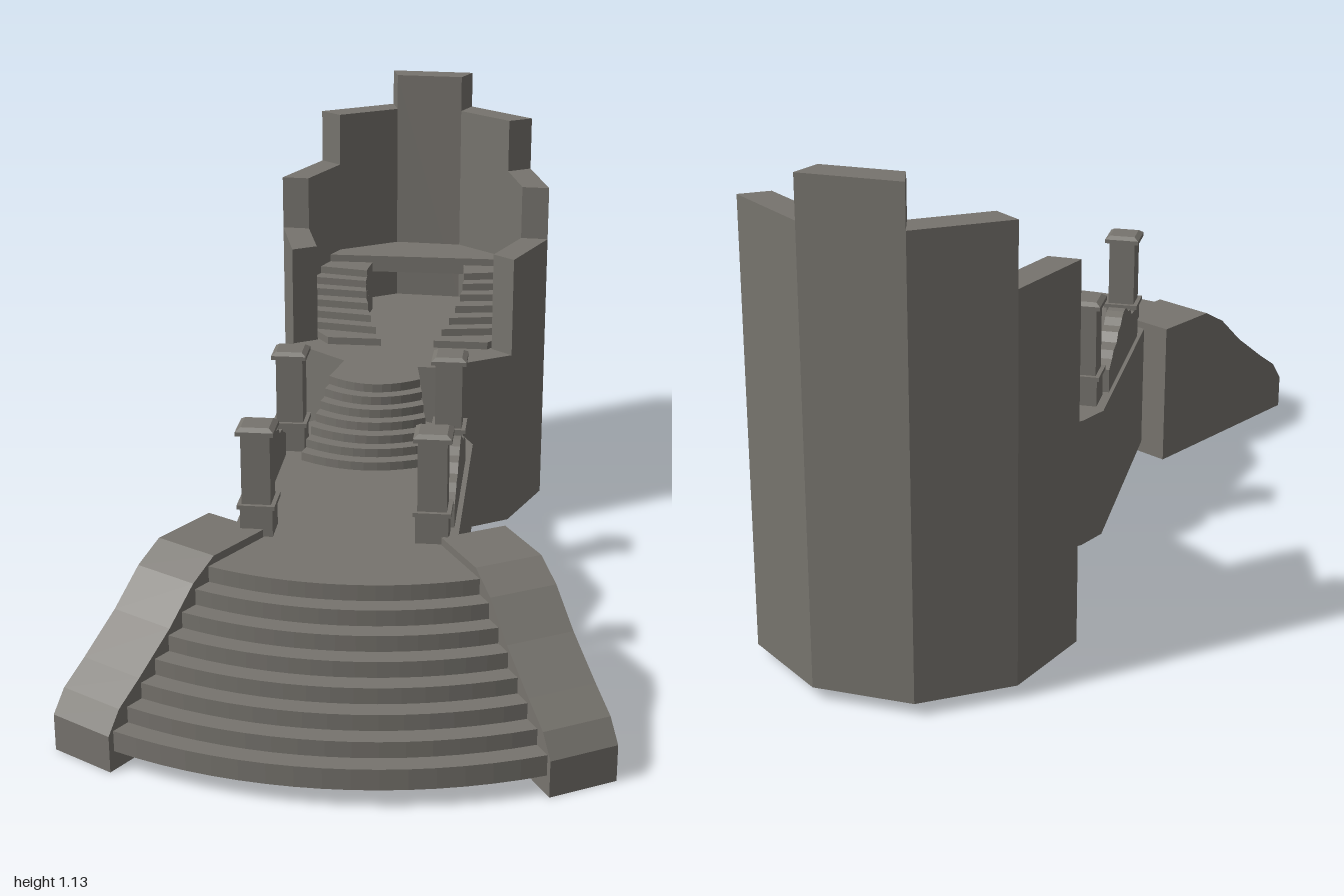
import * as THREE from 'three';

const stone = new THREE.MeshStandardMaterial({ color: 0x77746e, side: THREE.DoubleSide });
stone.name = 'weathered stone';

const LOW = 0.03, DECK = 0.352, FLOOR = 0.5, TERRACE = 0.655;

function add(parent, name, geometry) {
  const mesh = new THREE.Mesh(geometry, stone);
  mesh.name = name;
  parent.add(mesh);
  return mesh;
}

function group(parent, name) {
  const g = new THREE.Group();
  g.name = name;
  parent.add(g);
  return g;
}

// Plan outlines are lists of [x, z]
const planShape = (pts) => new THREE.Shape(pts.map(([x, z]) => new THREE.Vector2(x, -z)));

// Upright solid over a plan outline
function prism(pts, y0, y1) {
  return new THREE.ExtrudeGeometry(planShape(pts), { depth: y1 - y0, bevelEnabled: false })
    .rotateX(-Math.PI / 2).translate(0, y0, 0);
}

const slab = (pts, y) => new THREE.ShapeGeometry(planShape(pts)).rotateX(-Math.PI / 2).translate(0, y, 0);

// Faceted open sheet through rows of [x, y, z]
function sheet(rows) {
  const out = [];
  for (let j = 0; j < rows.length - 1; j++) {
    for (let i = 0; i < rows[j].length - 1; i++) {
      const a = rows[j][i], b = rows[j][i + 1], c = rows[j + 1][i], d = rows[j + 1][i + 1];
      out.push(...a, ...b, ...c, ...b, ...d, ...c);
    }
  }
  const g = new THREE.BufferGeometry();
  g.setAttribute('position', new THREE.Float32BufferAttribute(out, 3));
  g.computeVertexNormals();
  return g;
}

const skirt = (pts, top, bottom) => sheet([top, bottom].map((y) => pts.map(([x, z]) => [x, y, z])));

// Arc of the fan staircase, ending on the inner faces of the splayed walls
function fanArc(r) {
  const s = -0.172 + Math.sqrt(r * r - 0.0099);
  const end = Math.atan2(0.5 * s, 0.199 + 0.866 * s);
  return Array.from({ length: 17 }, (_, i) => {
    const a = end * (i / 8 - 1);
    return [r * Math.sin(a), -0.085 + r * Math.cos(a)];
  });
}

function buildFrontStairs(root) {
  const g = group(root, 'frontStairs');
  const rows = [];
  for (let i = 0; i < 8; i++) {
    const arc = fanArc(1.085 - 0.045 * i);
    const y0 = i ? 0.093 + 0.037 * (i - 1) : 0.045;
    const y1 = 0.093 + 0.037 * i;
    for (const y of [y0, y1]) rows.push(arc.map(([x, z]) => [x, y, z]));
  }
  add(g, 'fanSteps', sheet(rows));

  // Splayed side walls with a sloping top
  const profile = [[0, 0], [0, 0.085], [0.035, 0.135], [0.1, 0.18], [0.2, 0.255], [0.28, 0.33], [0.35, 0.37], [0.52, 0.37], [0.52, 0]];
  for (const side of [-1, 1]) {
    const geo = new THREE.ExtrudeGeometry(new THREE.Shape(profile.map(([u, y]) => new THREE.Vector2(u, y))), { depth: 0.16, bevelEnabled: false });
    const along = new THREE.Vector3(-side * 0.5, 0, -0.866);
    const up = new THREE.Vector3(0, 1, 0);
    const m = new THREE.Matrix4().makeBasis(along, up, along.clone().cross(up));
    m.setPosition(side < 0 ? -0.6 : 0.46, 0, side < 0 ? 0.832 : 0.912);
    add(g, side < 0 ? 'rightSideWall' : 'leftSideWall', geo.applyMatrix4(m));
  }
}

function buildLanding(root) {
  const g = group(root, 'landing');
  const outline = [
    [-0.275, 0.42], [-0.275, -0.15], [-0.24, -0.22], [-0.185, -0.275], [-0.12, -0.31],
    [0.08, -0.31], [0.145, -0.275], [0.2, -0.22], [0.235, -0.15], [0.235, 0.44]];
  add(g, 'landingWalls', skirt(outline, DECK, LOW));
  add(g, 'landingFloor', slab([...outline, [0.2, 0.46], ...fanArc(0.77).reverse(), [-0.2, 0.46]], DECK));

  // Four square pillars and two humped balustrades
  for (const x of [-0.217, 0.178]) {
    for (const z of [-0.093, 0.422]) {
      const p = group(g, 'pillar');
      p.position.set(x, 0, z);
      for (const [name, w, y0, y1] of [['pillarBase', 0.074, 0.35, 0.418], ['pillarLedge', 0.086, 0.418, 0.428], ['pillarShaft', 0.066, 0.428, 0.594], ['pillarCap', 0.086, 0.594, 0.604]]) {
        add(p, name, new THREE.BoxGeometry(w, y1 - y0, w)).position.y = (y0 + y1) / 2;
      }
      const top = new THREE.CylinderGeometry(0.045, 0.0608, 0.008, 4, 1).toNonIndexed();
      top.computeVertexNormals();
      add(p, 'pillarTop', top.rotateY(Math.PI / 4)).position.y = 0.608;
    }
  }
  const half = [[0.2, 0.41], [0.165, 0.425], [0.145, 0.44], [0.105, 0.445], [0.085, 0.465], [0.055, 0.47], [0.035, 0.485], [0.012, 0.493]];
  const crest = [[0.2, 0.35], ...half, ...half.map(([u, y]) => [-u, y]).reverse(), [-0.2, 0.35]];
  for (const x of [-0.245, 0.202]) {
    const geo = new THREE.ExtrudeGeometry(new THREE.Shape(crest.map(([u, y]) => new THREE.Vector2(u, y))), { depth: 0.042, bevelEnabled: false });
    add(g, 'balustrade', geo.translate(0, 0, -0.021).rotateY(Math.PI / 2)).position.set(x, 0, 0.165);
  }
}

// Tapering steps from the landing up into the tower
function buildNeckStairs(root) {
  const g = group(root, 'neckStairs');
  const rise = (FLOOR + 0.002 - DECK) / 7;
  for (let i = 0; i < 7; i++) {
    const front = 0.05 - 0.034 * i;
    const w = 0.09 + 0.22 * (front + 0.27);
    const pts = [];
    for (let k = 0; k <= 10; k++) {
      const t = k / 5 - 1;
      pts.push([-0.02 + w * t, front - 0.05 * t * t]);
    }
    add(g, 'neckStep', prism([...pts, [0.075, -0.34], [-0.11, -0.34]], DECK + rise * i, DECK + rise * (i + 1)));
  }
}

function buildTower(root) {
  const g = group(root, 'tower');
  const cx = 0.04, cz = -0.65;
  const corner = (k, r) => {
    const a = THREE.MathUtils.degToRad(-14.5 + 36 * k);
    return [cx + r * Math.sin(a), cz - r * Math.cos(a)];
  };
  const ring = Array.from({ length: 11 }, (_, k) => corner(k, 0.361));
  add(g, 'towerBase', skirt(ring, FLOOR, LOW));
  add(g, 'towerFloor', slab(ring.slice(0, 10), FLOOR));

  // Stepped wall panels, tallest at the back
  [1.135, 1.04, 0.9, 0.76, 0, 0, 0, 0.76, 0.9, 1.04].forEach((h, k) => {
    if (h) add(g, 'wallPanel', prism([corner(k, 0.361), corner(k + 1, 0.361), corner(k + 1, 0.29), corner(k, 0.29)], FLOOR, h));
  });

  // Paired curved stairs
  const back = -0.78, rise = (TERRACE - FLOOR) / 8;
  const inner = new THREE.CatmullRomCurve3([[0.07, -0.46], [0.105, -0.54], [0.128, -0.63], [0.134, -0.7], [0.127, back]]
    .map(([x, z]) => new THREE.Vector3(x, 0, z)));
  const outerX = (z) => Math.sqrt(0.285 ** 2 - (z - cz) ** 2);
  for (const side of [-1, 1]) {
    const flight = group(g, side < 0 ? 'rightFlight' : 'leftFlight');
    for (let i = 0; i < 7; i++) {
      const t0 = i / 8, zOut = -0.46 - 0.04 * i - (i ? 0.03 : 0);
      const pts = [];
      for (let k = 0; k <= 6; k++) {
        const p = inner.getPoint(t0 + (1 - t0) * k / 6);
        pts.push([cx + side * p.x, p.z]);
      }
      for (let k = 0; k <= 6; k++) {
        const z = back + (zOut - back) * k / 6;
        pts.push([cx + side * outerX(z), z]);
      }
      add(flight, 'curvedStep', prism(pts, FLOOR + rise * i, FLOOR + rise * (i + 1)));
    }
  }

  // Upper terrace slab against the back walls
  const w = outerX(back);
  add(g, 'upperTerrace', prism([[cx - w, back], corner(9, 0.295), corner(0, 0.295), corner(1, 0.295), corner(2, 0.295), [cx + w, back]], 0.61, TERRACE));
}

export function createModel() {
  const root = new THREE.Group();
  root.name = 'stoneStairwayAndTower';
  buildFrontStairs(root);
  buildLanding(root);
  buildNeckStairs(root);
  buildTower(root);
  return root;
}
